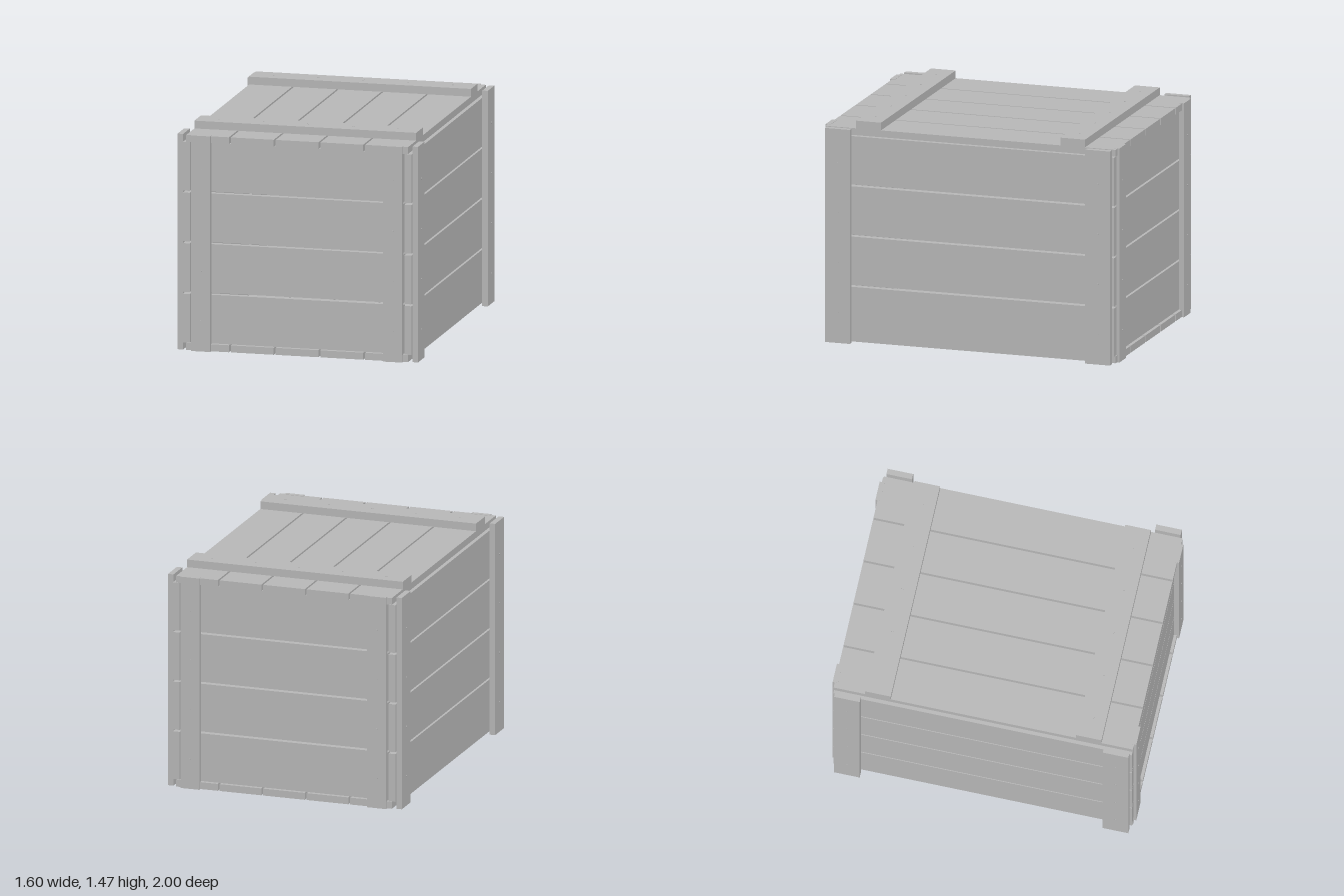
import * as THREE from 'three';

export function createModel() {
  const crate = new THREE.Group();
  crate.name = 'crate';
  const wood = new THREE.MeshStandardMaterial({ color: 0xb8b8b8 });
  wood.name = 'plain grey wood';

  // Box given by its minimum and maximum corners
  function board(name, [x0, y0, z0], [x1, y1, z1]) {
    const mesh = new THREE.Mesh(new THREE.BoxGeometry(x1 - x0, y1 - y0, z1 - z0), wood);
    mesh.position.set((x0 + x1) / 2, (y0 + y1) / 2, (z0 + z1) / 2);
    mesh.name = name;
    crate.add(mesh);
  }

  // Small nail head, its axis turned onto x, y or z
  const nailGeometry = new THREE.CylinderGeometry(0.006, 0.006, 0.006, 8);
  function nail(x, y, z, axis) {
    const mesh = new THREE.Mesh(nailGeometry, wood);
    mesh.position.set(x, y, z);
    if (axis === 'x') mesh.rotation.z = Math.PI / 2;
    if (axis === 'z') mesh.rotation.x = Math.PI / 2;
    mesh.name = 'nail';
    crate.add(mesh);
  }

  // Even planks filling a span, with a narrow gap between them
  function planks(count, from, to, build) {
    const gap = 0.013;
    const width = (to - from - gap * (count - 1)) / count;
    for (let i = 0; i < count; i++) {
      const start = from + i * (width + gap);
      build(start, start + width);
    }
  }

  // Floor and lid planks run from front to back
  planks(5, -0.735, 0.735, (a, b) => {
    board('floorPlank', [a, 0.002, -0.983], [b, 0.048, 0.983]);
    board('lidPlank', [a, 1.367, -0.983], [b, 1.412, 0.983]);
  });

  // Wall planks
  planks(4, 0.05, 1.365, (a, b) => {
    for (const s of [-1, 1]) {
      const side = [s * 0.712, s * 0.758].sort((p, q) => p - q);
      board('sidePlank', [side[0], a, -0.98], [side[1], b, 0.98]);
      const end = [s * 0.92, s * 0.963].sort((p, q) => p - q);
      board(s > 0 ? 'frontPlank' : 'backPlank', [-0.70, a, end[0]], [0.70, b, end[1]]);
    }
  });

  // Corner posts and their nails, mirrored to all four corners
  for (const sx of [-1, 1]) {
    for (const sz of [-1, 1]) {
      const span = (s, a, b) => (s > 0 ? [a, b] : [-b, -a]);
      let x = span(sx, 0.572, 0.70);
      let z = span(sz, 0.963, 0.997);
      board(sz > 0 ? 'frontPost' : 'backPost', [x[0], 0, z[0]], [x[1], 1.414, z[1]]);
      x = span(sx, 0.76, 0.797);
      z = span(sz, 0.798, 0.966);
      board('sidePost', [x[0], 0, z[0]], [x[1], 1.414, z[1]]);
      for (const y of [0.2, 0.53, 0.86, 1.19]) {
        nail(sx * 0.797, y, sz * 0.882, 'x');
        nail(sx * 0.636, y, sz * 0.997, 'z');
      }
    }
  }

  // Battens across the lid
  for (const z of [-0.692, 0.692]) {
    board('lidBatten', [-0.735, 1.412, z - 0.084], [0.735, 1.463, z + 0.084]);
    for (let i = -2; i <= 2; i++) nail(i * 0.297, 1.463, z, 'y');
  }

  return crate;
}
